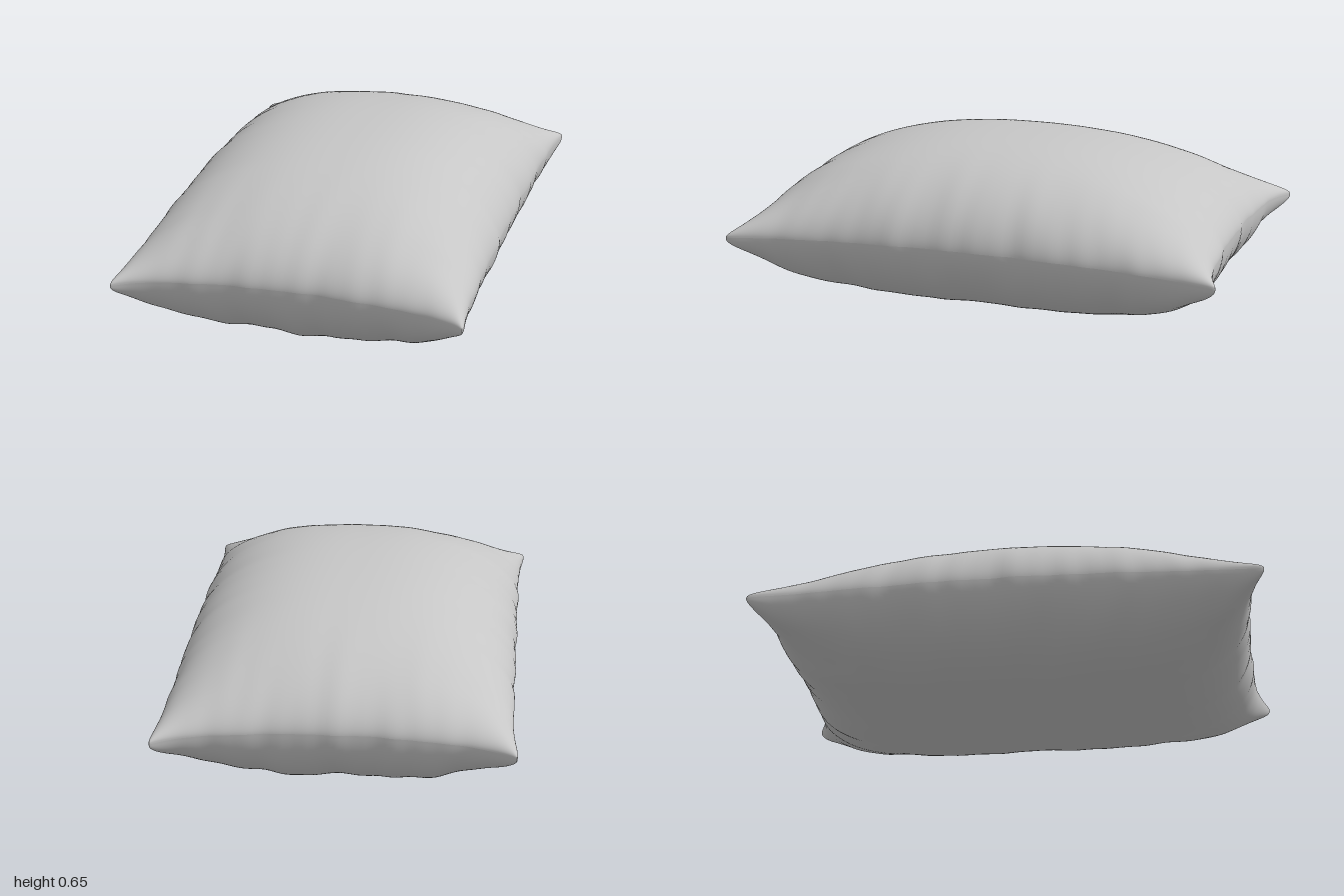
import * as THREE from 'three';

const cloth = new THREE.MeshStandardMaterial({ color: 0xc6c6c6 });
cloth.name = 'grey cloth';

// Irregular folds along an edge
const folds = (a, p) =>
  Math.sin(9 * a + p) + 0.7 * Math.sin(16 * a + 2.3 * p) + 0.4 * Math.sin(29 * a + 1.7 * p);

// Rounded falloff from 1 in the middle to 0 at the seam
const dome = (t, power, root) => Math.pow(Math.max(0, 1 - Math.pow(Math.abs(t), power)), root);

// One half of the pillow: side is 1 for the upper panel, -1 for the lower
function makePanel(side) {
  const geo = new THREE.PlaneGeometry(2, 2, 90, 120);
  geo.rotateX(-side * Math.PI / 2);
  const pos = geo.attributes.position;
  for (let i = 0; i < pos.count; i++) {
    // Crowd the rows toward the seam, where the cloth curves most
    const u = Math.sin(pos.getX(i) * Math.PI / 2);
    const v = Math.sin(pos.getZ(i) * Math.PI / 2);
    const u2 = u * u, v2 = v * v;

    // Outline: slightly concave edges, pointed but rounded corners, wavy seam
    const corner = Math.pow(u2 * v2, 20);
    const wave = 0.003 * (1 - u2 * v2);
    const x = u * (0.655 + 0.03 * v2 ** 4 - 0.012 * corner + wave * u2 * folds(2 * v, 1 + Math.sign(u)));
    const z = v * (0.92 + 0.025 * u2 + 0.052 * u2 ** 4 - 0.012 * corner + wave * v2 * folds(1.4 * u, 2 + Math.sign(v)));

    // Stuffing: fuller and flatter below, rounder above
    let h = side > 0
      ? 0.32 * dome(u, 2.5, 0.6) * dome(v, 2.3, 0.6) * (1 + 0.025 * u + 0.02 * v)
      : 0.33 * dome(u, 2.9, 0.55) * dome(v, 4.2, 0.48);
    const crease = side > 0 ? 0.022 : 0.05;
    h *= 1 + crease * (folds(u, 1 + side + v) * v2 * v2 + folds(1.3 * v, 3 - side + u) * u2 * u2);
    // Small puffed ears at the corners
    h += 0.07 * (u2 * v2) ** 3 * Math.pow(Math.max(0, (1 - u2) * (1 - v2)), 0.25);

    const seamY = 0.3 + 0.035 * (1 - u2 * v2);
    pos.setXYZ(i, x, Math.max(0, seamY + side * h), z);
  }
  geo.computeVertexNormals();
  return geo;
}

export function createModel() {
  const pillow = new THREE.Group();
  pillow.name = 'pillow';
  for (const [name, side] of [['upperPanel', 1], ['lowerPanel', -1]]) {
    const mesh = new THREE.Mesh(makePanel(side), cloth);
    mesh.name = name;
    pillow.add(mesh);
  }
  return pillow;
}
